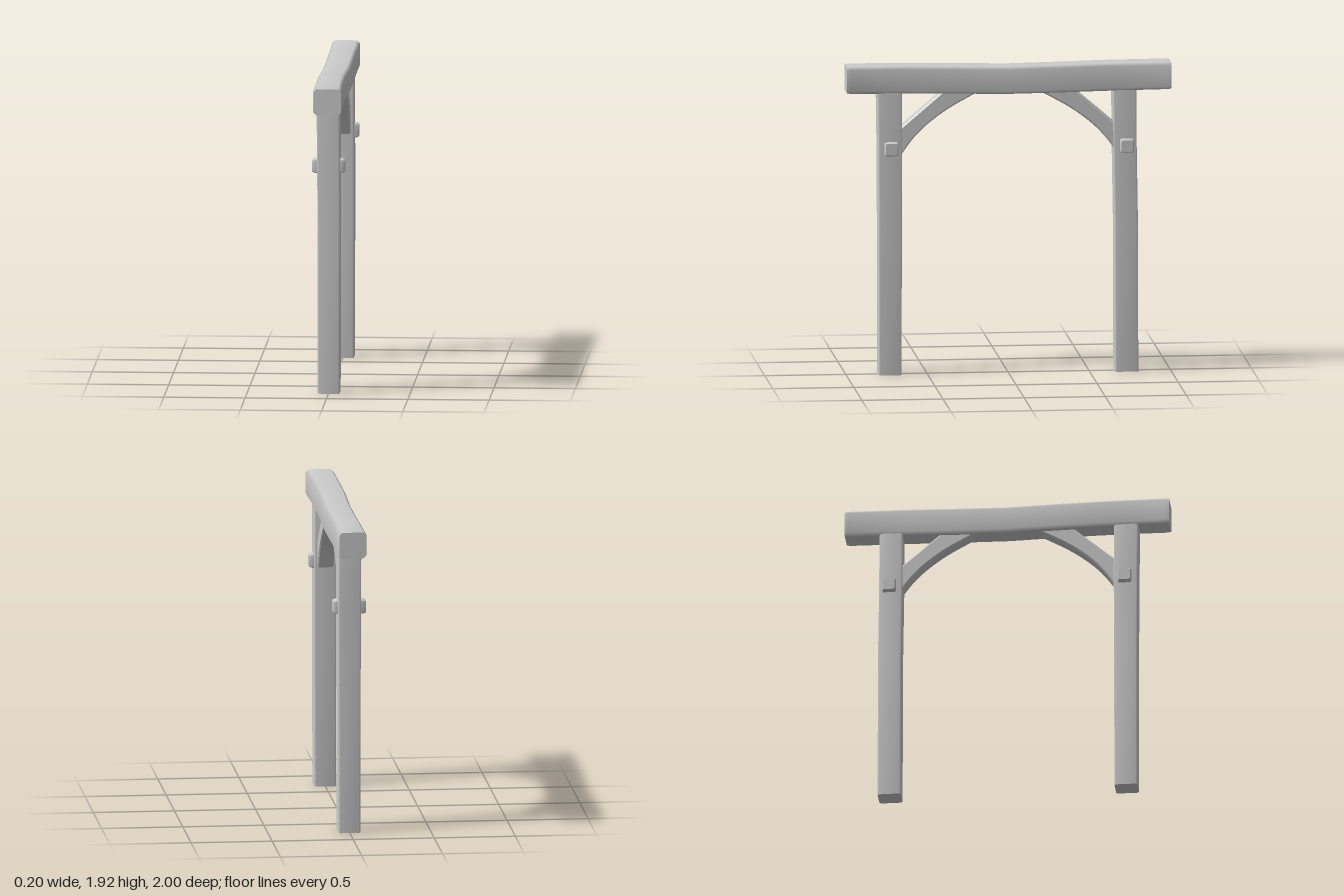
import * as THREE from 'three';

const material = new THREE.MeshStandardMaterial({ color: 0xcccccc });

// Hewn timber lofted along an axis through chamfered rectangles.
// Each section is [t, uMin, uMax, vMin, vMax], where u and v follow the axis cyclically.
function timber(name, axis, sections, chamfer) {
  const place = {
    x: (t, u, v) => [t, u, v],
    y: (t, u, v) => [v, t, u],
    z: (t, u, v) => [u, v, t],
  }[axis];
  const positions = [], index = [];
  const addRing = ([t, u0, u1, v0, v1]) => {
    const c = chamfer;
    const ring = [
      [u1, v0 + c], [u1, v1 - c], [u1 - c, v1], [u0 + c, v1],
      [u0, v1 - c], [u0, v0 + c], [u0 + c, v0], [u1 - c, v0],
    ];
    ring.forEach(([u, v]) => positions.push(...place(t, u, v)));
  };
  sections.forEach(addRing);
  for (let s = 0; s < sections.length - 1; s++) {
    for (let i = 0; i < 8; i++) {
      const a = s * 8 + i, b = s * 8 + (i + 1) % 8;
      index.push(a, b, b + 8, a, b + 8, a + 8);
    }
  }
  // Separate end rings keep the cut ends crisp
  const start = sections.length * 8, end = start + 8;
  addRing(sections[0]);
  addRing(sections[sections.length - 1]);
  for (let i = 1; i < 7; i++) {
    index.push(start, start + i + 1, start + i, end, end + i, end + i + 1);
  }
  const geometry = new THREE.BufferGeometry();
  geometry.setAttribute('position', new THREE.Float32BufferAttribute(positions, 3));
  geometry.setIndex(index);
  geometry.computeVertexNormals();
  const mesh = new THREE.Mesh(geometry, material);
  mesh.name = name;
  return mesh;
}

// Curved knee brace between post and beam, side = +1 front, -1 back
function brace(name, side) {
  const shape = new THREE.Shape();
  shape.moveTo(0.70, 1.32);
  shape.lineTo(0.66, 1.37);
  shape.splineThru([[0.59, 1.465], [0.5, 1.555], [0.37, 1.65], [0.2, 1.745]].map(p => new THREE.Vector2(...p)));
  shape.lineTo(0.15, 1.775);
  shape.lineTo(0.385, 1.775);
  shape.lineTo(0.42, 1.745);
  shape.lineTo(0.66, 1.54);
  shape.lineTo(0.70, 1.505);
  const width = 0.1;
  const geometry = new THREE.ExtrudeGeometry(shape, {
    depth: width - 0.016, curveSegments: 8,
    bevelEnabled: true, bevelThickness: 0.008, bevelSize: 0.008, bevelOffset: -0.008, bevelSegments: 1,
  });
  geometry.translate(0, 0, -(width - 0.016) / 2);
  geometry.rotateY(-side * Math.PI / 2);
  const mesh = new THREE.Mesh(geometry, material);
  mesh.name = name;
  return mesh;
}

export function createModel() {
  const group = new THREE.Group();
  group.name = 'timberFrame';

  // Slightly sagging, wavy top beam
  group.add(timber('beam', 'z', [
    [-1, -0.08, 0.085, 1.757, 1.92],
    [-0.98, -0.083, 0.087, 1.753, 1.922],
    [-0.6, -0.08, 0.085, 1.748, 1.92],
    [-0.3, -0.08, 0.085, 1.742, 1.913],
    [0, -0.083, 0.083, 1.738, 1.907],
    [0.35, -0.09, 0.076, 1.744, 1.913],
    [0.65, -0.086, 0.08, 1.75, 1.92],
    [0.97, -0.083, 0.09, 1.754, 1.922],
    [1, -0.08, 0.088, 1.757, 1.92],
  ], 0.018));

  // Posts, leaning a touch
  group.add(timber('frontPost', 'y', [
    [0, 0.662, 0.803, -0.066, 0.068],
    [0.9, 0.66, 0.803, -0.066, 0.07],
    [1.4, 0.658, 0.805, -0.07, 0.07],
    [1.78, 0.66, 0.81, -0.073, 0.069],
  ], 0.01));
  group.add(timber('backPost', 'y', [
    [0, -0.798, -0.655, -0.066, 0.068],
    [0.9, -0.796, -0.653, -0.068, 0.07],
    [1.4, -0.788, -0.645, -0.071, 0.07],
    [1.78, -0.786, -0.642, -0.073, 0.069],
  ], 0.01));

  for (const [label, side] of [['front', 1], ['back', -1]]) {
    group.add(brace(label + 'Brace', side));
    // Square peg driven through the post
    const z = side * 0.726;
    const section = (x, r) => [x, 1.407 - r, 1.407 + r, z - r, z + r];
    group.add(timber(label + 'Peg', 'x', [
      section(-0.103, 0.036), section(-0.09, 0.042), section(-0.06, 0.044),
      section(0.06, 0.044), section(0.085, 0.042), section(0.098, 0.036),
    ], 0.008));
  }
  return group;
}
